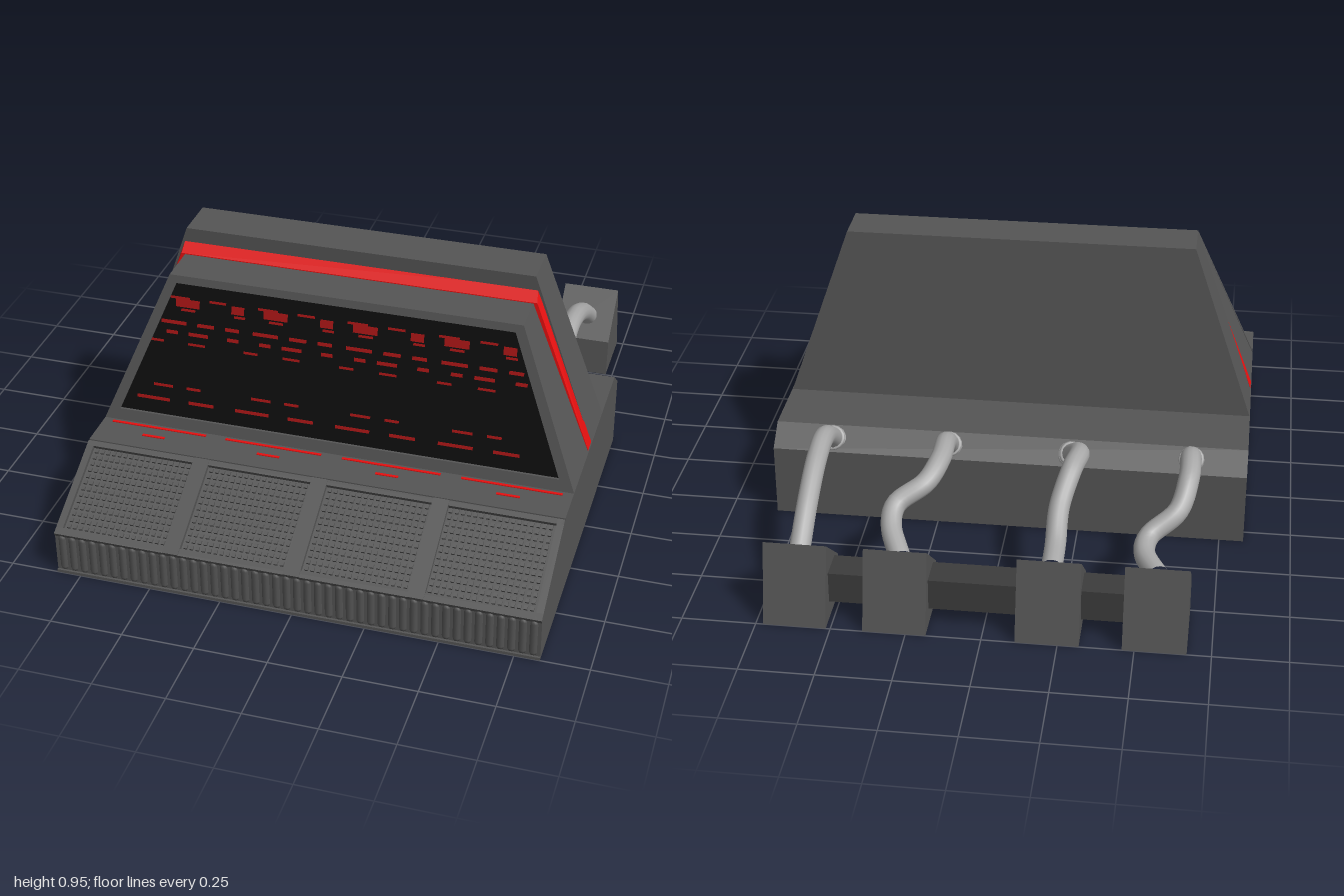
import * as THREE from 'three';
import { mergeGeometries } from 'three/addons/utils/BufferGeometryUtils.js';

const paint = (name, color) => {
  const m = new THREE.MeshStandardMaterial({ color });
  m.name = name;
  return m;
};

// Six-sided solid: four lower corners, then four upper ones, each
// ordered back-left, back-right, front-right, front-left as seen from above.
function hexSolid(p) {
  const quads = [[3, 2, 6, 7], [1, 0, 4, 5], [2, 1, 5, 6], [0, 3, 7, 4], [7, 6, 5, 4], [0, 1, 2, 3]];
  const pos = [];
  for (const [a, b, c, d] of quads) for (const i of [a, b, c, a, c, d]) pos.push(...p[i]);
  const g = new THREE.BufferGeometry();
  g.setAttribute('position', new THREE.Float32BufferAttribute(pos, 3));
  g.computeVertexNormals();
  return g;
}

// Side-symmetric tapered block; each corner row is [half width, y, z]
function taper(lowBack, lowFront, topBack, topFront) {
  const pair = ([xb, yb, zb], [xf, yf, zf]) => [[-xb, yb, zb], [xb, yb, zb], [xf, yf, zf], [-xf, yf, zf]];
  return hexSolid([...pair(lowBack, lowFront), ...pair(topBack, topFront)]);
}

// Side profile of [z, y] points, extruded across x and centred
function sideProfile(points, width) {
  const shape = new THREE.Shape(points.map(([z, y]) => new THREE.Vector2(-z, y)));
  return new THREE.ExtrudeGeometry(shape, { depth: width, bevelEnabled: false })
    .rotateY(Math.PI / 2).translate(-width / 2, 0, 0);
}

const box = (w, h, d, x, y, z) => new THREE.BoxGeometry(w, h, d).translate(x, y, z);

export function createModel() {
  const model = new THREE.Group();
  model.name = 'controlConsole';
  const grey = paint('console grey', 0x555555);
  const dark = paint('dark grey', 0x3c3c3c);
  const black = paint('screen black', 0x0d0d0d);
  const red = paint('light red', 0xe61010);
  const dimRed = paint('display red', 0xa51414);
  const steel = paint('pipe grey', 0xa8a8a8);

  const add = (name, geometry, material, parent = model) => {
    const mesh = new THREE.Mesh(geometry, material);
    mesh.name = name;
    parent.add(mesh);
    return mesh;
  };

  // Base with sloped front and chamfered back edge
  add('base', sideProfile([[0.992, 0], [0.992, 0.148], [0.665, 0.311], [0.665, 0.325],
    [-0.23, 0.325], [-0.31, 0.26], [-0.31, 0]], 1.67), grey);

  // Fluted front band
  const ribs = [];
  for (let i = 0; i < 46; i++) {
    ribs.push(new THREE.CapsuleGeometry(0.013, 0.115, 2, 6).scale(1, 1, 0.6)
      .translate(-0.81 + i * 0.036, 0.081, 0.992));
  }
  add('frontRibs', mergeGeometries(ribs), grey);
  add('frontSill', box(1.67, 0.01, 0.008, 0, 0.005, 0.996), grey);

  // Sloped deck: raised frame with four studded panels
  const deck = new THREE.Group();
  deck.name = 'panelDeck';
  deck.position.set(0, 0.2425, 0.835);
  deck.rotation.x = Math.atan(0.5);
  model.add(deck);
  const frame = [box(1.67, 0.016, 0.026, 0, -0.008, 0.171), box(1.67, 0.016, 0.02, 0, -0.008, -0.174)];
  for (const x of [-0.42, 0, 0.42]) frame.push(box(0.055, 0.018, 0.368, x, -0.007, 0));
  for (const x of [-0.823, 0.823]) frame.push(box(0.024, 0.016, 0.368, x, -0.008, 0));
  add('deckFrame', mergeGeometries(frame), grey, deck);
  const studs = [];
  for (const cx of [-0.627, -0.21, 0.21, 0.627]) {
    for (let i = 0; i < 17; i++) for (let j = 0; j < 13; j++) {
      studs.push(box(0.012, 0.008, 0.014, cx + (i - 8) * 0.021, -0.01, -0.004 + (j - 6) * 0.0245));
    }
  }
  add('panelStuds', mergeGeometries(studs), grey, deck);

  // Red indicator strips on the flat ledge
  const strips = [];
  for (const cx of [-0.627, -0.21, 0.21, 0.627]) {
    strips.push(box(0.345, 0.004, 0.01, cx, 0.326, 0.538), box(0.08, 0.004, 0.01, cx, 0.326, 0.592));
  }
  add('ledgeLights', mergeGeometries(strips), red);

  // Tower: rear slab, glowing seam and screen housing
  add('rearSlab', taper([0.835, 0.32, 0.01], [0.835, 0.32, 0.218],
    [0.615, 0.95, 0.055], [0.615, 0.95, 0.215]), grey);
  add('glowSeam', taper([0.833, 0.33, 0.21], [0.833, 0.33, 0.266],
    [0.622, 0.905, 0.21], [0.628, 0.865, 0.242]), red);
  add('screenHousing', taper([0.835, 0.32, 0.265], [0.835, 0.32, 0.51],
    [0.615, 0.862, 0.238], [0.615, 0.862, 0.378]), grey);

  // Mitred frame bars around the recessed screen
  const faceZ = (y) => 0.52 - (y - 0.33) * 0.13 / 0.53;
  const outer = [[-0.835, 0.325], [0.835, 0.325], [0.615, 0.862], [-0.615, 0.862]];
  const inner = [[-0.78, 0.365], [0.78, 0.365], [0.59, 0.835], [-0.59, 0.835]];
  const at = ([x, y], lift) => [x, y, faceZ(y) - 0.013 + lift];
  const bars = outer.map((o, i) => {
    const n = (i + 1) % 4;
    const ring = [o, outer[n], inner[n], inner[i]];
    const back = ring.map((p) => at(p, 0)), front = ring.map((p) => at(p, 0.013));
    return hexSolid([back[0], back[1], front[1], front[0], back[3], back[2], front[2], front[3]]);
  });
  add('screenFrame', mergeGeometries(bars), grey);

  // Screen plate and display marks share the tilted plane
  const tilt = Math.atan(0.13 / 0.53);
  const screen = new THREE.Group();
  screen.name = 'screen';
  screen.position.set(0, 0.33, 0.509);
  screen.rotation.x = -tilt;
  model.add(screen);
  const up = (y) => (y - 0.33) / Math.cos(tilt);
  const pane = new THREE.Shape(inner.map(([x, y]) => new THREE.Vector2(x, up(y))));
  add('screenPane', new THREE.ExtrudeGeometry(pane, { depth: 0.004, bevelEnabled: false }), black, screen);
  // Rows of marks: [y, spacing of repeats, height, [offset, width]...]
  const rows = [
    [0.765, 0.315, 0.028, [0.04, 0.085], [0.24, 0.045]],
    [0.782, 0.315, 0.008, [0.02, 0.07], [0.16, 0.06]],
    [0.742, 0.315, 0.008, [0.06, 0.05], [0.25, 0.04]],
    [0.695, 0.33, 0.012, [0.02, 0.09], [0.15, 0.06], [0.25, 0.05]],
    [0.66, 0.335, 0.012, [0.05, 0.04], [0.13, 0.07], [0.27, 0.04]],
    [0.625, 0.34, 0.008, [0.0, 0.05], [0.14, 0.06]],
    [0.468, 0.355, 0.009, [0.05, 0.07], [0.17, 0.05]],
    [0.418, 0.36, 0.011, [0.0, 0.12], [0.19, 0.09]],
  ];
  const marks = [];
  for (const [y, step, h, ...dashes] of rows) {
    for (let k = 0; k < 4; k++) for (const [dx, w] of dashes) {
      marks.push(box(w, h, 0.003, (k - 2) * step + dx + w / 2, up(y), 0.005));
    }
  }
  add('displayMarks', mergeGeometries(marks), dimRed, screen);

  // Rear connector blocks joined by a bar
  for (const x of [-0.565, -0.215, 0.288, 0.62]) {
    add('connectorBlock', sideProfile([[-0.755, 0], [-0.765, 0.14], [-0.935, 0.28], [-1, 0]], 0.21), grey)
      .position.x = x;
  }
  add('connectorBar', box(1.2, 0.11, 0.11, 0.03, 0.115, -0.875), dark);

  // Bent pipes from base to connectors, each with collar rings
  const paths = [
    [[-0.64, 0.28, -0.25], [-0.64, 0.37, -0.38], [-0.64, 0.36, -0.5], [-0.61, 0.29, -0.6],
      [-0.52, 0.23, -0.67], [-0.51, 0.21, -0.74], [-0.56, 0.2, -0.85]],
    [[-0.21, 0.28, -0.26], [-0.26, 0.37, -0.4], [-0.245, 0.37, -0.5], [-0.215, 0.29, -0.62],
      [-0.215, 0.22, -0.74], [-0.215, 0.2, -0.85]],
    [[0.21, 0.28, -0.25], [0.205, 0.37, -0.38], [0.205, 0.375, -0.5], [0.24, 0.34, -0.6],
      [0.33, 0.29, -0.67], [0.335, 0.25, -0.74], [0.288, 0.2, -0.85]],
    [[0.625, 0.28, -0.25], [0.625, 0.38, -0.41], [0.625, 0.37, -0.54], [0.625, 0.3, -0.7], [0.625, 0.2, -0.85]],
  ];
  for (const path of paths) {
    const curve = new THREE.CatmullRomCurve3(path.map((p) => new THREE.Vector3(...p)));
    add('pipe', new THREE.TubeGeometry(curve, 40, 0.036, 14), steel);
    for (const t of [0.035, 0.065]) {
      const ring = add('pipeCollar', new THREE.TorusGeometry(0.036, 0.009, 6, 16), steel);
      ring.position.copy(curve.getPointAt(t));
      ring.quaternion.setFromUnitVectors(new THREE.Vector3(0, 0, 1), curve.getTangentAt(t));
    }
  }
  return model;
}
